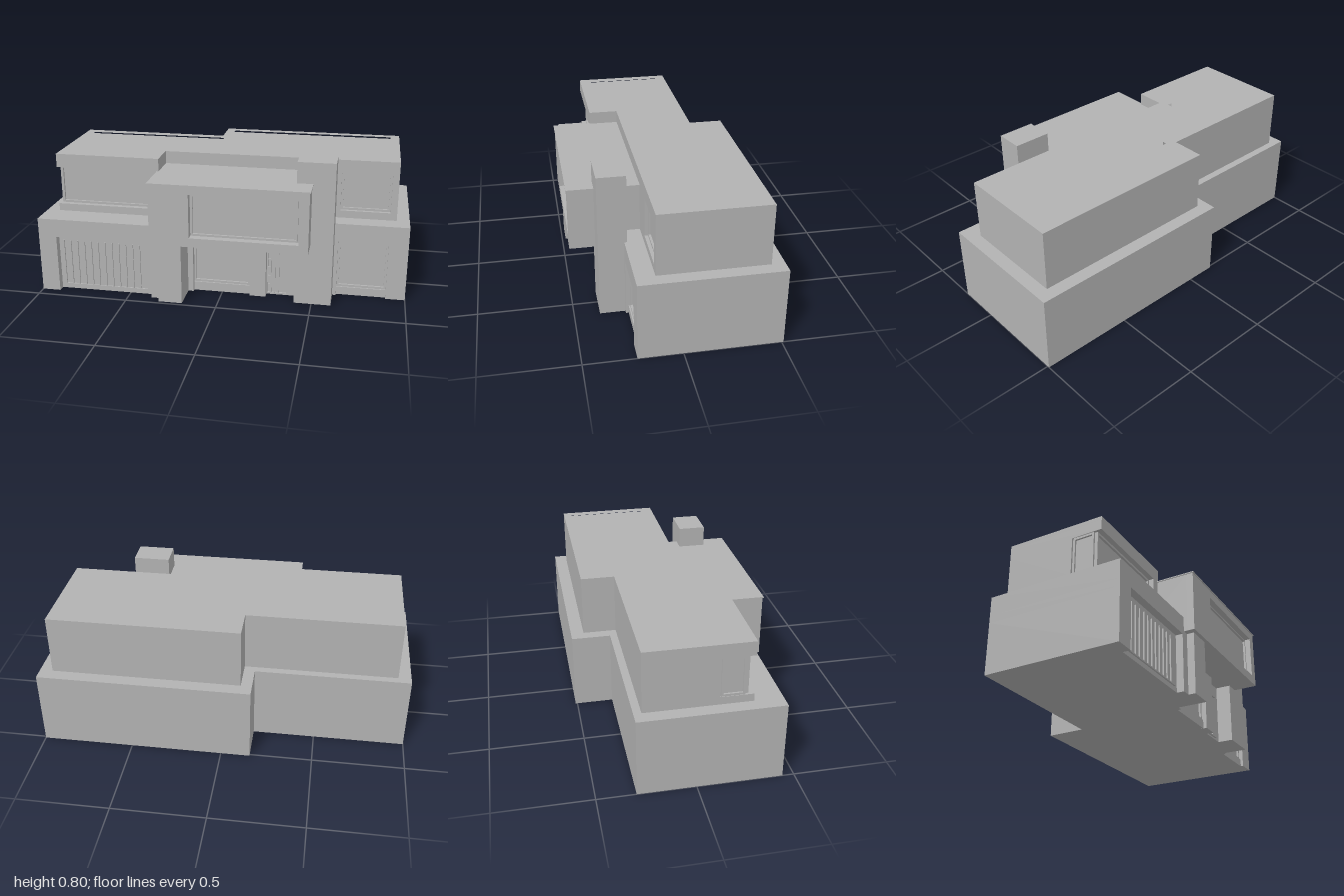
import * as THREE from 'three';

export function createModel() {
  const house = new THREE.Group();
  house.name = 'house';
  const grey = new THREE.MeshStandardMaterial({ color: 0xb2b2b2 });
  grey.name = 'plain grey';

  const add = (name, geometry, parent = house) => {
    const mesh = new THREE.Mesh(geometry, grey);
    mesh.name = name;
    parent.add(mesh);
    return mesh;
  };

  // Box given by its limits on each axis
  const block = (name, x0, x1, y0, y1, z0, z1, parent) => {
    const g = new THREE.BoxGeometry(x1 - x0, y1 - y0, z1 - z0);
    g.translate((x0 + x1) / 2, (y0 + y1) / 2, (z0 + z1) / 2);
    return add(name, g, parent);
  };

  // Floor plan of [x, z] corners raised from y0 to y1
  const toPoints = plan => plan.map(([x, z]) => new THREE.Vector2(x, -z));
  const storey = (name, plan, y0, y1, hole) => {
    const shape = new THREE.Shape(toPoints(plan));
    if (hole) shape.holes.push(new THREE.Path(toPoints(hole)));
    const g = new THREE.ExtrudeGeometry(shape, { depth: y1 - y0, bevelEnabled: false });
    g.rotateX(-Math.PI / 2).translate(0, y0, 0);
    return add(name, g);
  };

  // Upright panel with a rectangular opening, facing +z
  const rect = (x0, x1, y0, y1) =>
    [[x0, y0], [x1, y0], [x1, y1], [x0, y1]].map(([x, y]) => new THREE.Vector2(x, y));
  const panel = (outer, inner, z, depth) => {
    const shape = new THREE.Shape(rect(...outer));
    shape.holes.push(new THREE.Path(rect(...inner)));
    return new THREE.ExtrudeGeometry(shape, { depth, bevelEnabled: false }).translate(0, 0, z);
  };
  const frame = (name, x0, x1, y0, y1, z, t = 0.012) =>
    add(name, panel([x0, x1, y0, y1], [x0 + t, x1 - t, y0 + t, y1 - t], z, 0.012));

  // Ground floor: bands of one plan, with recesses where openings are
  const lowerPlan = (tallRecess, windowRecess) => [
    [-1, -0.3], [-0.16, -0.3], [-0.16, -0.51], [1, -0.51], [1, 0.23],
    ...(tallRecess ? [[0.895, 0.23], [0.895, 0.195], [0.625, 0.195], [0.625, 0.23]] : []),
    [0.49, 0.23], [0.49, 0.28], [0.245, 0.28], [0.245, 0.32],
    ...(windowRecess ? [[0.155, 0.32], [0.155, 0.28], [-0.16, 0.28], [-0.16, 0.32]] : []),
    [-0.19, 0.32], [-0.19, 0.48], [-0.32, 0.48], [-0.32, 0.44],
    ...(tallRecess ? [[-0.37, 0.44], [-0.37, 0.4], [-0.9, 0.4], [-0.9, 0.44]] : []),
    [-1, 0.44],
  ];
  storey('groundFloorWalls', lowerPlan(true, true), 0, 0.28);
  storey('groundFloorLintel', lowerPlan(true, false), 0.28, 0.32);
  storey('groundFloorRoof', lowerPlan(false, false), 0.32, 0.422);

  // Upper floor: solid base, recessed window band, roof slab and parapet
  const upperBack = [[-0.93, -0.26], [-0.1, -0.26], [-0.1, -0.44], [0.93, -0.44], [0.93, 0.13]];
  const upperPlan = [...upperBack, [-0.35, 0.13], [-0.35, 0.29], [-0.93, 0.29]];
  const windowPlan = [
    ...upperBack, [0.895, 0.13], [0.895, 0.1], [0.625, 0.1], [0.625, 0.13],
    [-0.35, 0.13], [-0.35, 0.29], [-0.4, 0.29], [-0.4, 0.25], [-0.917, 0.25],
    [-0.917, 0.12], [-0.93, 0.12],
  ];
  const roofInset = [
    [-0.88, -0.21], [-0.05, -0.21], [-0.05, -0.395], [0.88, -0.395],
    [0.88, 0.08], [-0.4, 0.08], [-0.4, 0.24], [-0.88, 0.24],
  ];
  storey('upperFloorBase', upperPlan, 0.422, 0.463);
  storey('upperFloorWalls', windowPlan, 0.463, 0.675);
  storey('upperRoof', upperPlan, 0.675, 0.73);
  storey('parapet', upperPlan, 0.73, 0.75, roofInset);

  // Projecting room over the entrance
  block('projectingRoom', -0.355, 0.485, 0.34, 0.675, 0.12, 0.46);
  add('projectingRoomFront',
    panel([-0.355, 0.485, 0.34, 0.675], [-0.14, 0.435, 0.39, 0.63], 0.46, 0.04));
  block('projectingRoomCap', -0.36, 0.49, 0.675, 0.681, 0.12, 0.505);

  // Chimney
  block('chimney', 0.405, 0.605, 0, 0.795, 0.215, 0.365);

  // Window frames and sills
  frame('projectingRoomWindow', -0.132, 0.427, 0.398, 0.622, 0.46, 0.008);
  frame('upperLeftWindow', -0.917, -0.4, 0.463, 0.675, 0.25);
  frame('upperRightWindow', 0.625, 0.895, 0.463, 0.675, 0.1);
  frame('lowerRightWindow', 0.625, 0.895, 0.045, 0.32, 0.195);
  frame('entranceWindow', -0.16, 0.155, 0.05, 0.28, 0.28);
  block('lowerRightSill', 0.625, 0.895, 0, 0.045, 0.19, 0.215);
  block('entranceSill', -0.16, 0.155, 0, 0.05, 0.275, 0.3);
  const sideFrame = frame('upperSideWindow', -0.06, 0.06, 0.463, 0.675, 0);
  sideFrame.rotation.y = -Math.PI / 2;
  sideFrame.position.set(-0.915, 0, 0.185);

  // Slatted garage door
  const garage = new THREE.Group();
  garage.name = 'garageDoor';
  house.add(garage);
  for (let i = 0; i < 12; i++) {
    const x = -0.872 + i * 0.0393;
    block('garageSlat', x - 0.003, x + 0.003, 0.03, 0.29, 0.395, 0.408, garage);
  }
  block('garageRail', -0.875, -0.4, 0.025, 0.032, 0.395, 0.408, garage);

  // Entrance door with a narrow ladder of panes
  const door = new THREE.Group();
  door.name = 'entranceDoor';
  house.add(door);
  for (const x of [0.25, 0.27, 0.29, 0.312])
    block('doorUpright', x - 0.003, x + 0.003, 0.012, 0.265, 0.275, 0.29, door);
  for (const y of [0.012, 0.262])
    block('doorRail', 0.25, 0.355, y - 0.003, y + 0.003, 0.275, 0.29, door);
  for (let i = 1; i < 5; i++)
    block('paneBar', 0.25, 0.27, i * 0.05 + 0.009, i * 0.05 + 0.015, 0.275, 0.288, door);

  return house;
}
